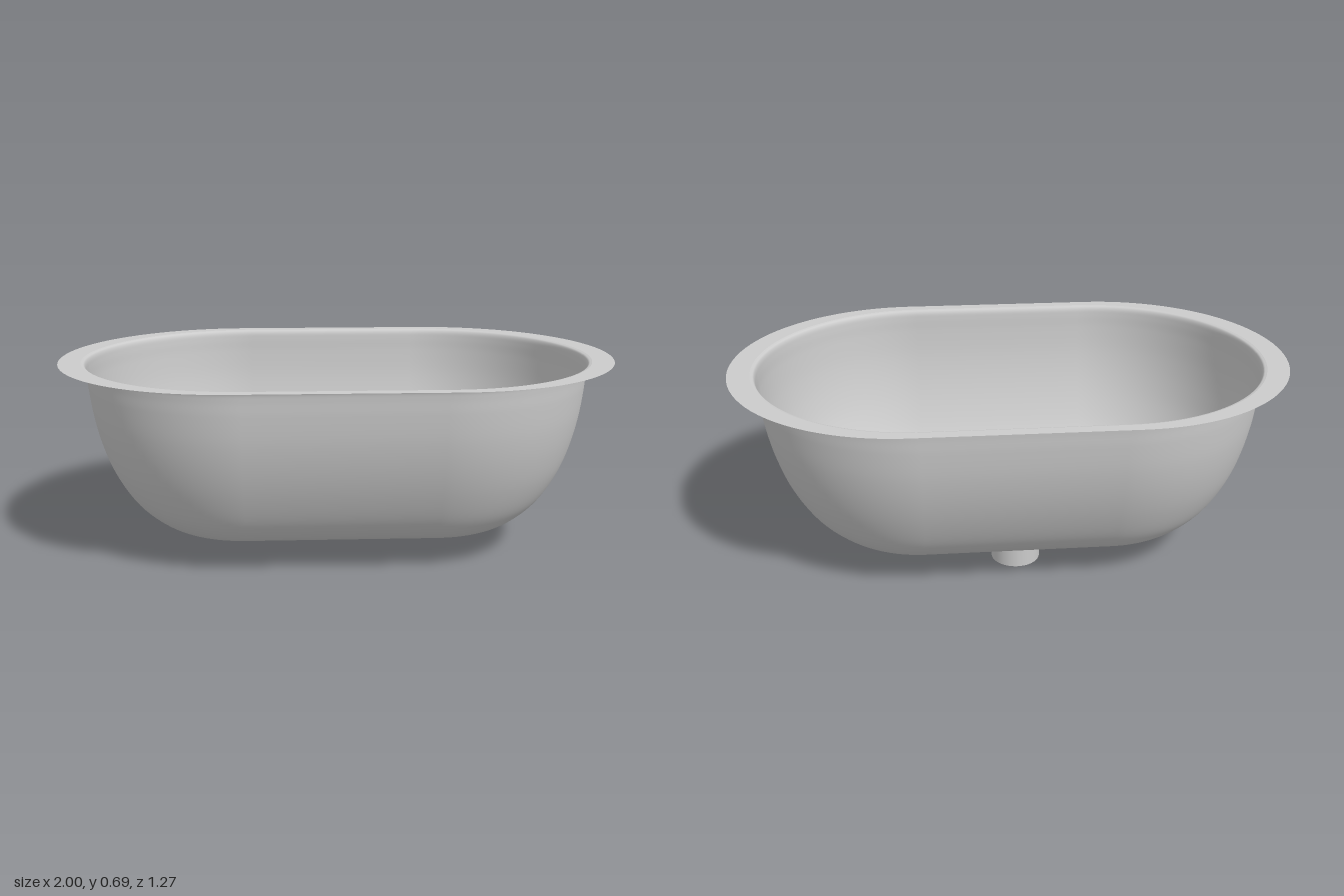
import * as THREE from 'three';

const CORNER = 24;            // segments per rounded corner
const RIM_Y = 0.687, FLOOR_Y = 0.103;
const DRAIN_Z = -0.2125;

const material = new THREE.MeshStandardMaterial({ color: 0xcccccc, side: THREE.DoubleSide });

// Oval outline: half sizes hx, hz with elliptical corners centred on (±cx, ±cz)
function outline(hx, hz, cx, cz) {
  const points = [];
  for (let q = 0; q < 4; q++) {
    const sx = q === 0 || q === 3 ? 1 : -1, sz = q < 2 ? 1 : -1;
    for (let i = 0; i <= CORNER; i++) {
      const a = (q + i / CORNER) * Math.PI / 2;
      points.push(new THREE.Vector2(sx * cx + (hx - cx) * Math.cos(a), sz * cz + (hz - cz) * Math.sin(a)));
    }
  }
  return points;
}

// Skin stacked rings of equal point count, rings listed from bottom to top
function loft(rings) {
  const n = rings[0].points.length, positions = [], index = [];
  for (const { y, points } of rings) for (const p of points) positions.push(p.x, y, p.y);
  for (let r = 0; r < rings.length - 1; r++) {
    for (let i = 0; i < n; i++) {
      const a = r * n + i, b = r * n + (i + 1) % n;
      index.push(a, a + n, b, b, a + n, b + n);
    }
  }
  const geometry = new THREE.BufferGeometry();
  geometry.setAttribute('position', new THREE.Float32BufferAttribute(positions, 3));
  geometry.setIndex(index);
  geometry.computeVertexNormals();
  return geometry;
}

// Flat horizontal sheet with one hole
function sheet(points, holePoints, y) {
  const shape = new THREE.Shape(points);
  shape.holes.push(new THREE.Path(holePoints));
  return new THREE.ShapeGeometry(shape).rotateX(-Math.PI / 2).translate(0, y, 0);
}

export function createModel() {
  const group = new THREE.Group();
  const add = (name, geometry) => {
    const mesh = new THREE.Mesh(geometry, material);
    mesh.name = name;
    group.add(mesh);
    return mesh;
  };

  // Wall profile: half width, height, half depth
  const profile = new THREE.CatmullRomCurve3([
    [0.56, FLOOR_Y, 0.34], [0.6, 0.109, 0.368], [0.665, 0.14, 0.408], [0.74, 0.2, 0.454],
    [0.812, 0.3, 0.503], [0.855, 0.4, 0.538], [0.882, 0.5, 0.561], [0.897, 0.6, 0.573],
    [0.901, 0.65, 0.576], [0.904, 0.673, 0.579], [0.909, 0.683, 0.585], [0.92, RIM_Y, 0.596],
  ].map(p => new THREE.Vector3(...p)));

  // Bowl wall: squarer at the floor, fully round ends at the rim
  const rings = [];
  const steps = 66;
  for (let i = 0; i <= steps; i++) {
    const p = profile.getPoint(i / steps);
    const t = THREE.MathUtils.clamp((p.y - FLOOR_Y) / (RIM_Y - FLOOR_Y), 0, 1);
    rings.push({ y: p.y, points: outline(p.x, p.z, 0.33, 0.14 * (1 - t) ** 2) });
  }
  add('bowlWall', loft(rings));

  // Flat rim flange
  add('rimFlange', sheet(outline(1, 0.636, 0.365, 0), rings[steps].points, RIM_Y));

  // Floor with the drain opening
  const drainHole = new THREE.Path().absarc(0, -DRAIN_Z, 0.113, 0, Math.PI * 2).getPoints(24);
  drainHole.pop();
  add('bowlFloor', sheet(rings[0].points, drainHole, FLOOR_Y));

  // Drain: tapered seat, closing disc and open tailpipe
  const seat = add('drainSeat', new THREE.CylinderGeometry(0.113, 0.0875, FLOOR_Y - 0.08, 48, 1, true));
  seat.position.set(0, (FLOOR_Y + 0.08) / 2, DRAIN_Z);
  const disc = add('drainDisc', new THREE.CircleGeometry(0.0875, 48).rotateX(-Math.PI / 2));
  disc.position.set(0, 0.08, DRAIN_Z);
  const pipe = add('drainPipe', new THREE.CylinderGeometry(0.0875, 0.0875, 0.08, 48, 1, true));
  pipe.position.set(0, 0.04, DRAIN_Z);

  return group;
}
